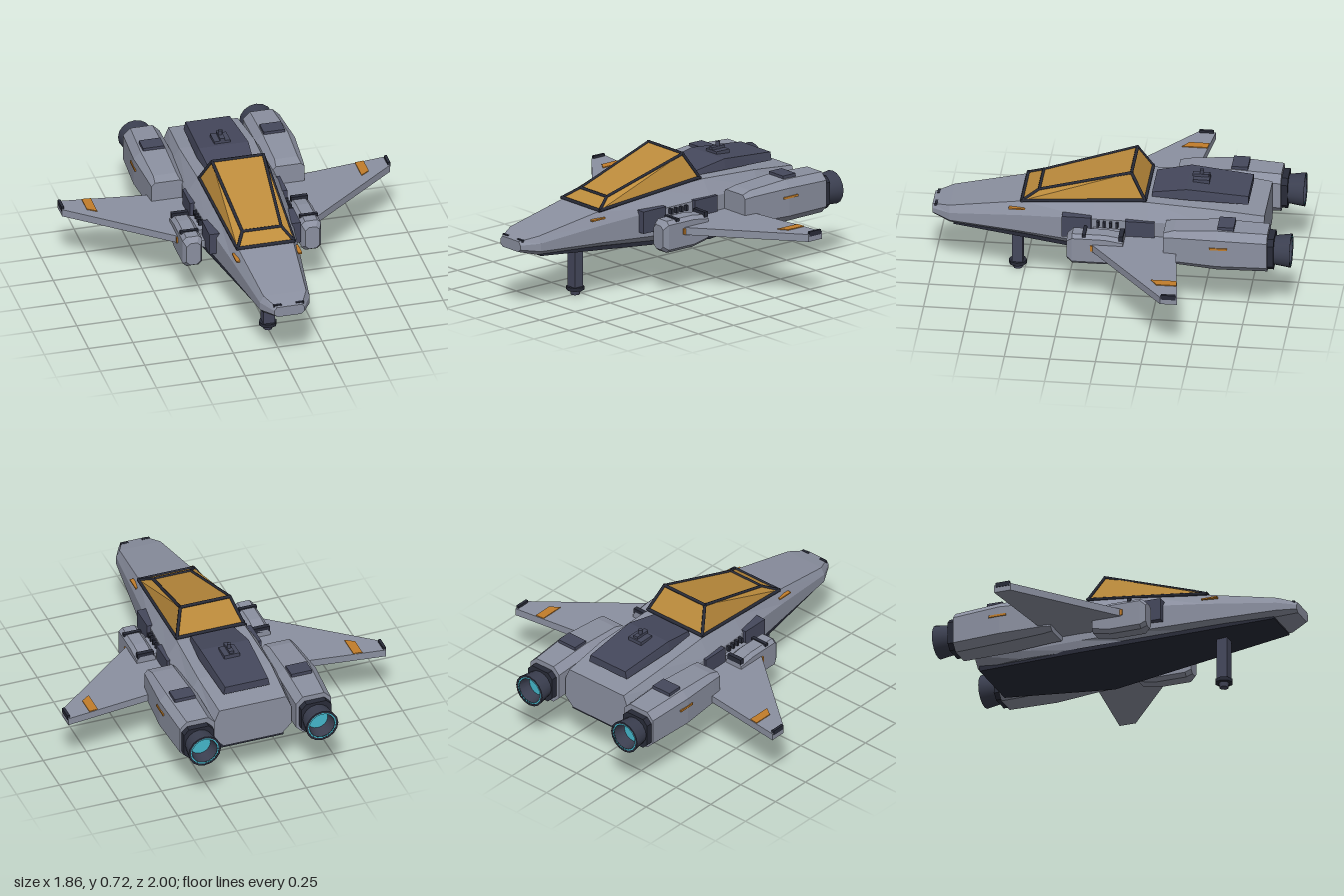
import * as THREE from 'three';
import { ConvexGeometry } from 'three/addons/geometries/ConvexGeometry.js';

const paint = (name, color, extra = {}) => {
  const m = new THREE.MeshStandardMaterial({ color, ...extra });
  m.name = name;
  return m;
};

// Skin through closed rings listed front to back, each counterclockwise seen from +z
function loft(rings, s = 1) {
  if (s < 0) rings = rings.map(r => r.map(([x, y, z]) => [-x, y, z]).reverse());
  const pos = [], n = rings[0].length;
  const tri = (a, b, c) => pos.push(...a, ...b, ...c);
  for (let i = 0; i < rings.length - 1; i++) {
    for (let j = 0; j < n; j++) {
      const k = (j + 1) % n, p = rings[i], q = rings[i + 1];
      tri(p[j], q[j], p[k]);
      tri(q[j], q[k], p[k]);
    }
  }
  const f = rings[0], b = rings[rings.length - 1];
  for (let j = 1; j < n - 1; j++) {
    tri(f[0], f[j], f[j + 1]);
    tri(b[0], b[j + 1], b[j]);
  }
  const g = new THREE.BufferGeometry();
  g.setAttribute('position', new THREE.Float32BufferAttribute(pos, 3));
  g.computeVertexNormals();
  return g;
}

// Rectangle ring with cut corners
const octagon = (z, x0, x1, y0, y1, c) => [
  [x1, y0 + c, z], [x1, y1 - c, z], [x1 - c, y1, z], [x0 + c, y1, z],
  [x0, y1 - c, z], [x0, y0 + c, z], [x0 + c, y0, z], [x1 - c, y0, z]];

// Symmetric hull ring: bottom, lower side, upper side and top
const hullRing = ([z, yb, wb, yl, wm, yu, yt, wt]) => [
  [wm, yl, z], [wm, yu, z], [wt, yt, z], [-wt, yt, z],
  [-wm, yu, z], [-wm, yl, z], [-wb, yb, z], [wb, yb, z]];

const hull = pts => new ConvexGeometry(pts.map(p => new THREE.Vector3(...p)));
const pair = (w, y, z) => [[w, y, z], [-w, y, z]];

export function createModel() {
  const model = new THREE.Group();
  model.name = 'starfighter';
  const grey = paint('hull grey', 0x8b90a0);
  const slate = paint('slate panels', 0x45485c);
  const dark = paint('dark trim', 0x282b38);
  const amber = paint('amber glass', 0xbd8c3c);
  const orange = paint('orange marking', 0xc27d2a);
  const cyan = paint('engine glow', 0x45b8cc);
  const nozzleSkin = paint('nozzle metal', 0x3b3f50, { side: THREE.DoubleSide });

  const add = (name, geo, mat, parent = model) => {
    const m = new THREE.Mesh(geo, mat);
    m.name = name;
    parent.add(m);
    return m;
  };
  const box = (name, mat, x0, x1, y0, y1, z0, z1, parent) =>
    add(name, new THREE.BoxGeometry(Math.abs(x1 - x0), y1 - y0, z1 - z0)
      .translate((x0 + x1) / 2, (y0 + y1) / 2, (z0 + z1) / 2), mat, parent);
  const beam = (name, mat, a, b, r, parent) => {
    const p = new THREE.Vector3(...a), d = new THREE.Vector3(...b).sub(p);
    const m = add(name, new THREE.CylinderGeometry(r, r, d.length() + r, 6), mat, parent);
    m.position.copy(p).addScaledVector(d, 0.5);
    m.quaternion.setFromUnitVectors(new THREE.Vector3(0, 1, 0), d.normalize());
  };

  // Fuselage and belly
  add('fuselage', loft([
    [1.0, 0.345, 0.065, 0.36, 0.085, 0.385, 0.405, 0.07],
    [0.9, 0.32, 0.11, 0.345, 0.14, 0.39, 0.428, 0.12],
    [0.5, 0.295, 0.15, 0.33, 0.19, 0.43, 0.5, 0.155],
    [0.1, 0.268, 0.21, 0.31, 0.24, 0.46, 0.545, 0.18],
    [-0.2, 0.25, 0.245, 0.3, 0.26, 0.47, 0.56, 0.2],
    [-0.55, 0.26, 0.235, 0.3, 0.255, 0.465, 0.545, 0.21],
    [-0.835, 0.275, 0.17, 0.33, 0.225, 0.44, 0.512, 0.195],
  ].map(hullRing)), grey);
  const bellyRing = (z, y0, y1, w) => [[w, y0, z], [w, y1, z], [-w, y1, z], [-w, y0, z]];
  add('belly', loft([bellyRing(0.88, 0.31, 0.33, 0.115), bellyRing(0.5, 0.282, 0.305, 0.165),
    bellyRing(-0.2, 0.23, 0.255, 0.258), bellyRing(-0.82, 0.255, 0.285, 0.185)]), dark);

  // Canopy glass with a beam on every edge
  const base = [[0.16, 0.505, 0.5], [-0.16, 0.505, 0.5], [-0.195, 0.57, -0.18], [0.195, 0.57, -0.18]];
  const roof = [[0.11, 0.555, 0.41], [-0.11, 0.555, 0.41], [-0.145, 0.71, -0.1], [0.145, 0.71, -0.1]];
  const canopy = new THREE.Group();
  canopy.name = 'canopy';
  model.add(canopy);
  add('canopyGlass', hull([...base, ...roof]), amber, canopy);
  for (let i = 0; i < 4; i++) {
    const j = (i + 1) % 4;
    beam('canopySill', dark, base[i], base[j], 0.01, canopy);
    beam('canopyRoofBar', dark, roof[i], roof[j], 0.009, canopy);
    beam('canopyPost', dark, base[i], roof[i], 0.009, canopy);
  }

  // Dorsal hatch and antenna
  add('dorsalHatch', hull([
    ...pair(0.13, 0.56, -0.21), ...pair(0.125, 0.585, -0.21),
    ...pair(0.15, 0.56, -0.4), ...pair(0.14, 0.62, -0.4),
    ...pair(0.135, 0.545, -0.74), ...pair(0.125, 0.59, -0.74)]), slate);
  box('antennaBase', slate, -0.045, 0.045, 0.6, 0.632, -0.515, -0.425);
  add('antennaMast', new THREE.CylinderGeometry(0.012, 0.012, 0.06, 8).translate(0, 0.645, -0.47), slate);
  box('antennaHead', slate, -0.014, 0.014, 0.635, 0.65, -0.51, -0.42);

  // Nose landing leg
  add('noseLeg', new THREE.BoxGeometry(0.064, 0.28, 0.06).translate(0, 0.17, 0.54), slate);
  add('footCollar', new THREE.CylinderGeometry(0.05, 0.05, 0.02, 8).translate(0, 0.037, 0.54), dark);
  add('foot', new THREE.CylinderGeometry(0.03, 0.025, 0.03, 8).translate(0, 0.015, 0.54), slate);

  for (const s of [1, -1]) {
    const side = new THREE.Group();
    side.name = s > 0 ? 'leftSide' : 'rightSide';
    model.add(side);
    const sbox = (name, mat, x0, x1, ...r) => box(name, mat, s * x0, s * x1, ...r, side);
    const plan = (pts, depth, y) => new THREE.ExtrudeGeometry(
      new THREE.Shape(pts.map(([x, z]) => new THREE.Vector2(s * x, z))),
      { depth, bevelEnabled: false }).rotateX(Math.PI / 2).translate(0, y, 0);

    // Wing with its markings
    add('wing', plan([[0.22, 0.2], [0.39, 0.09], [0.925, -0.345], [0.925, -0.44], [0.22, -0.35]],
      0.042, 0.383), grey, side);
    add('wingStripe', plan([[0.745, -0.275], [0.795, -0.31], [0.795, -0.42], [0.745, -0.415]],
      0.006, 0.388), orange, side);
    sbox('wingtipLight', dark, 0.912, 0.928, 0.37, 0.397, -0.43, -0.35);
    sbox('leadingEdgeMark', orange, 0.385, 0.397, 0.345, 0.378, 0.08, 0.1);

    // Pod at the wing root
    add('wingPod', loft([
      octagon(0.23, 0.295, 0.375, 0.275, 0.41, 0.02), octagon(0.2, 0.28, 0.39, 0.255, 0.435, 0.02),
      octagon(0.02, 0.28, 0.39, 0.255, 0.435, 0.02), octagon(-0.08, 0.28, 0.39, 0.275, 0.42, 0.02)], s), grey, side);
    sbox('podStrut', grey, 0.23, 0.3, 0.34, 0.41, -0.06, 0.1);
    sbox('podBand', dark, 0.285, 0.388, 0.425, 0.441, 0.125, 0.145);
    sbox('podSlat', dark, 0.29, 0.385, 0.41, 0.44, -0.08, -0.055);

    // Fuselage side panels and vents
    const panel = (name, z0, z1, x) => sbox(name, slate, 0.18, x, 0.35, 0.475, z0, z1);
    panel('frontSidePanel', 0.11, 0.27, 0.258);
    panel('rearSidePanel', -0.24, -0.08, 0.275);
    for (let i = 0; i < 4; i++)
      sbox('sideVent', dark, 0.22, 0.268, 0.425, 0.455, 0.065 - i * 0.035, 0.079 - i * 0.035);

    // Engine nacelle
    add('nacelle', loft([
      octagon(-0.305, 0.25, 0.432, 0.31, 0.495, 0.02), octagon(-0.36, 0.247, 0.437, 0.305, 0.51, 0.03),
      octagon(-0.6, 0.235, 0.455, 0.288, 0.527, 0.04), octagon(-0.875, 0.235, 0.44, 0.285, 0.515, 0.04)], s), grey, side);
    sbox('nacelleHatch', slate, 0.28, 0.4, 0.52, 0.543, -0.69, -0.6);
    sbox('nacelleStripe', orange, 0.45, 0.459, 0.43, 0.442, -0.66, -0.56);
    add('engineCollar', loft([octagon(-0.86, 0.255, 0.43, 0.3, 0.485, 0.03),
      octagon(-0.91, 0.255, 0.43, 0.3, 0.485, 0.03)], s), dark, side);
    const x = s * 0.342, y = 0.39;
    add('nozzle', new THREE.CylinderGeometry(0.08, 0.094, 0.095, 16, 1, true)
      .rotateX(Math.PI / 2).translate(x, y, -0.9525), nozzleSkin, side);
    const aft = g => g.rotateY(Math.PI);
    add('nozzleLip', aft(new THREE.RingGeometry(0.082, 0.094, 16)).translate(x, y, -0.999), dark, side);
    add('glowRing', aft(new THREE.RingGeometry(0.074, 0.082, 16)).translate(x, y, -0.998), cyan, side);
    add('nozzleLiner', new THREE.CylinderGeometry(0.058, 0.074, 0.07, 16, 1, true)
      .rotateX(Math.PI / 2).translate(x, y, -0.962), nozzleSkin, side);
    add('engineGlow', aft(new THREE.CircleGeometry(0.06, 16)).translate(x, y, -0.93), cyan, side);

    // Nose markings
    sbox('noseStripe', orange, 0.164, 0.186, 0.46, 0.468, 0.48, 0.57);
    sbox('noseSensor', dark, 0.04, 0.085, 0.4, 0.413, 0.972, 0.987);
  }
  return model;
}
